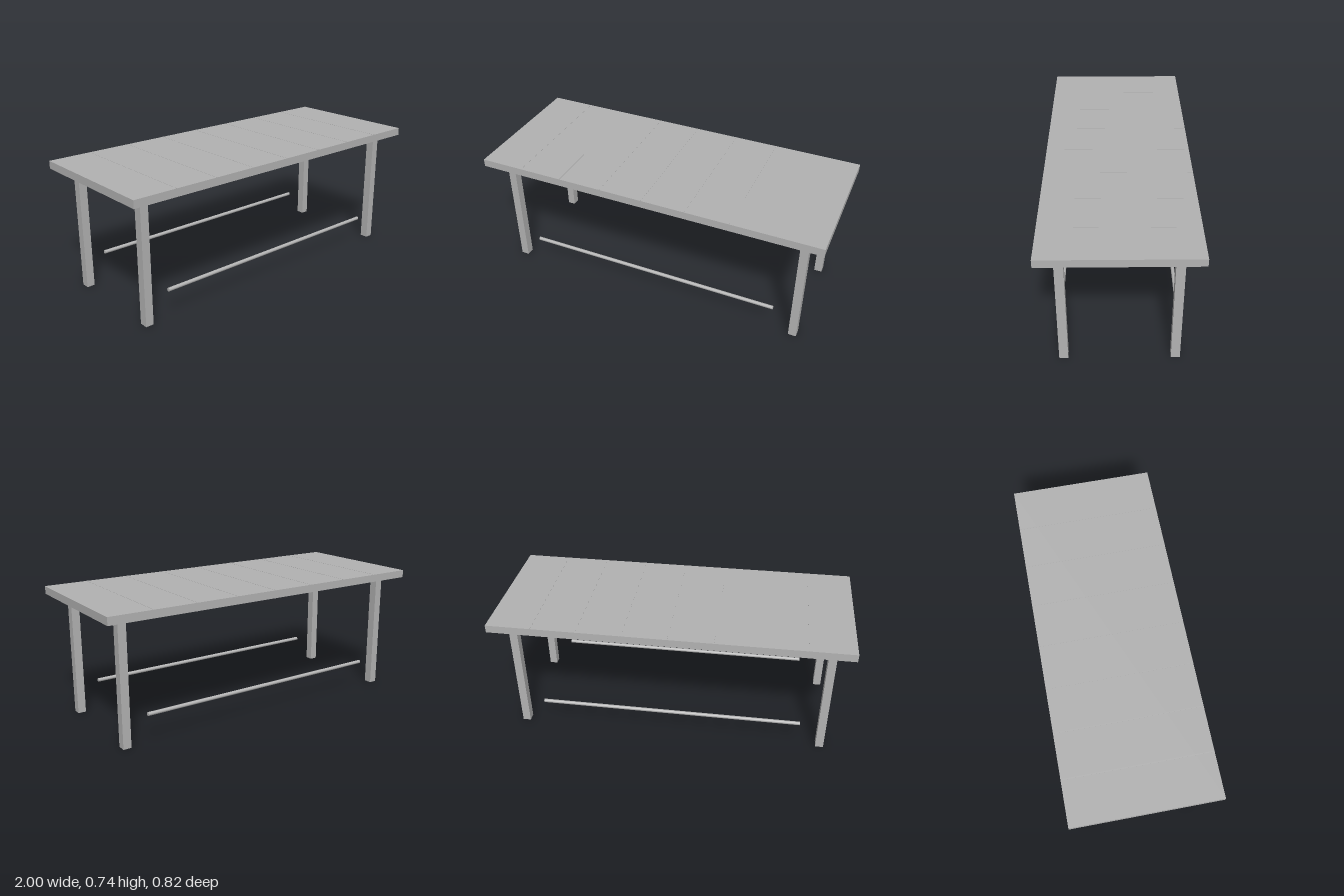
import * as THREE from 'three';

export function createModel() {
  const table = new THREE.Group();
  table.name = 'table';
  const grey = new THREE.MeshStandardMaterial({ color: 0xb2b2b2 });
  grey.name = 'plain grey';

  const add = (name, geometry, x, y, z) => {
    const mesh = new THREE.Mesh(geometry, grey);
    mesh.name = name;
    mesh.position.set(x, y, z);
    table.add(mesh);
    return mesh;
  };

  // Tabletop slab
  const bottom = 0.697, top = 0.741, depth = 0.818;
  const middle = (bottom + top) / 2;
  add('tabletop', new THREE.BoxGeometry(2, top - bottom, depth), 0, middle, 0);

  // Thin seam strips, barely proud of the slab above and below
  const seam = new THREE.BoxGeometry(0.006, top - bottom + 0.002, depth - 0.002);
  for (let i = -3; i <= 3; i++) add('plankSeam', seam, i * 0.25, middle, 0);

  // Square legs
  const leg = new THREE.BoxGeometry(0.046, bottom, 0.048);
  for (const sx of [-1, 1]) {
    for (const sz of [-1, 1]) add('leg', leg, sx * 0.885, bottom / 2, sz * 0.295);
  }

  // Round rails running lengthwise at the front and back
  const rail = new THREE.CylinderGeometry(0.0105, 0.0105, 1.515, 16);
  rail.rotateZ(Math.PI / 2);
  for (const sz of [-1, 1]) add('rail', rail, 0, 0.161, sz * 0.313);

  return table;
}
